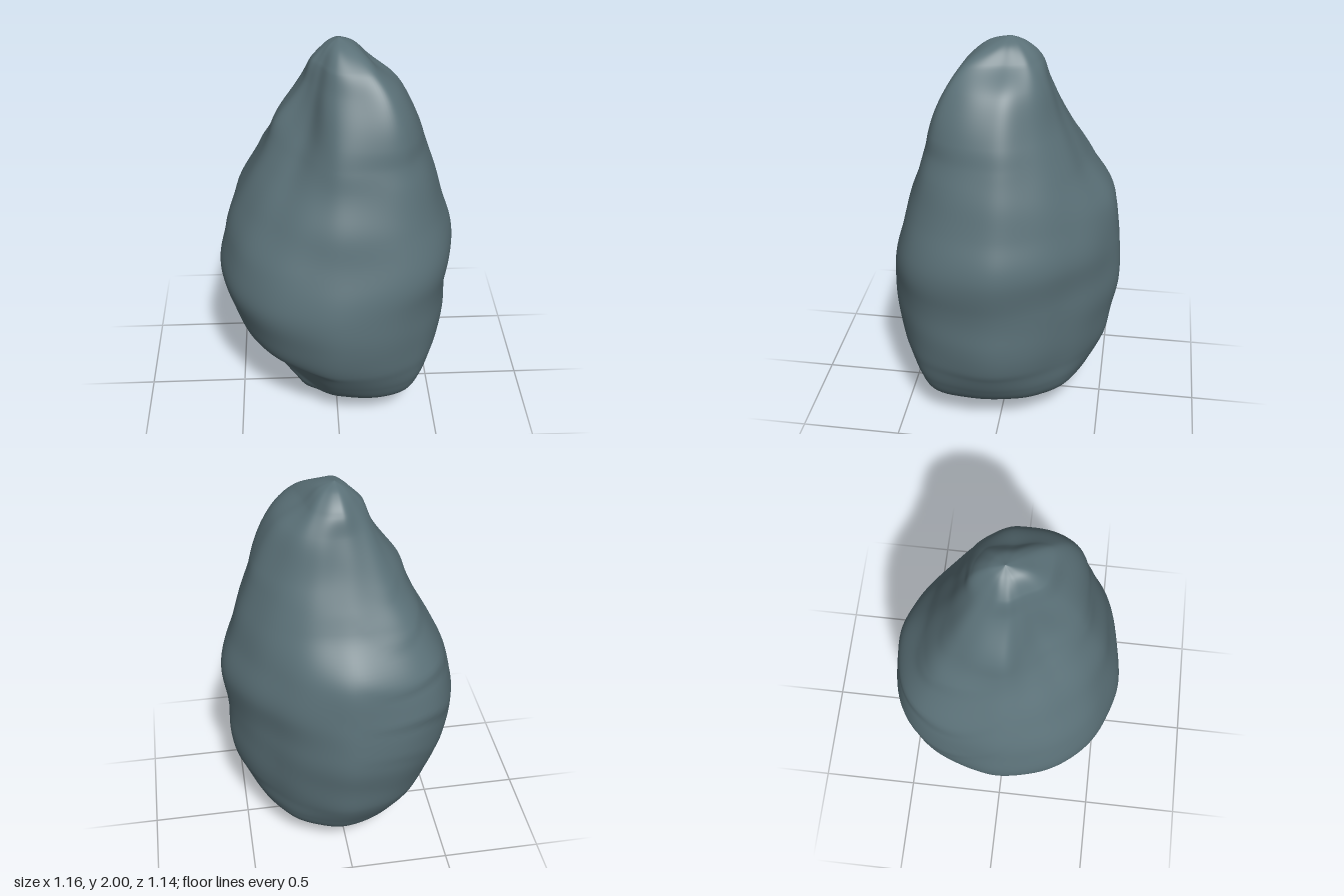
import * as THREE from 'three';

// Each row: height, then radii at eight compass directions, turning from +x towards +z
const ROWS = [
  [0.02, .09, .13, .11, .11, .10, .10, .07, .08],
  [0.09, .21, .33, .25, .24, .20, .22, .23, .23],
  [0.20, .395, .49, .37, .275, .32, .36, .39, .39],
  [0.30, .465, .54, .445, .33, .35, .43, .455, .44],
  [0.39, .51, .56, .495, .38, .37, .475, .50, .46],
  [0.45, .535, .57, .525, .47, .455, .50, .52, .47],
  [0.60, .55, .58, .565, .54, .53, .55, .545, .485],
  [0.80, .555, .595, .57, .58, .58, .59, .57, .495],
  [1.00, .575, .60, .52, .54, .55, .60, .55, .505],
  [1.20, .525, .54, .465, .44, .47, .55, .515, .47],
  [1.40, .46, .48, .39, .32, .365, .435, .38, .40],
  [1.50, .43, .45, .36, .255, .32, .365, .325, .36],
  [1.60, .395, .43, .325, .20, .28, .305, .28, .32],
  [1.80, .29, .34, .22, .135, .15, .19, .195, .24],
  [1.90, .16, .24, .17, .10, .11, .12, .16, .17],
  [1.97, .08, .10, .10, .06, .05, .06, .08, .08],
];
const STEPS = 170, AROUND = 128;

// Gentle lumps all over, plus a few soft U-shaped ridges on the back
function relief(angle, y) {
  const lumps = 0.004 * Math.sin(3 * angle + 7 * y) * Math.sin(9 * y - 2 * angle)
    + 0.003 * Math.sin(7 * angle - 11 * y + 1) * Math.sin(5 * angle + 13 * y);
  const a = angle - Math.PI * 1.25;
  const level = (y - 0.25 * a * a) * 4.6 + 0.18 * Math.sin(5 * a + 4 * y);
  const f = level - Math.floor(level);
  const scallop = f < 0.25 ? f / 0.25 : (1 - f) / 0.75;
  const fade = Math.exp(-((a / 0.5) ** 2) - (((y - 1.05) / 0.35) ** 2));
  return lumps + 0.014 * fade * (scallop - 0.5);
}

function stoneGeometry() {
  // One vertical profile curve for each compass direction
  const profiles = Array.from({ length: 8 }, (_, k) => new THREE.CatmullRomCurve3([
    new THREE.Vector3(0, 0, 0),
    ...ROWS.map((row) => new THREE.Vector3(row[k + 1], row[0], 0)),
    new THREE.Vector3(0, 2, 0),
  ], false, 'centripetal'));

  const positions = [], index = [];
  for (let i = 0; i <= STEPS; i++) {
    // A closed ring through the eight profiles
    const ring = new THREE.CatmullRomCurve3(profiles.map((profile, k) => {
      const p = profile.getPoint(i / STEPS), angle = k * Math.PI / 4;
      return new THREE.Vector3(p.x * Math.cos(angle), p.y, p.x * Math.sin(angle));
    }), true, 'catmullrom', 0.5);
    for (let j = 0; j < AROUND; j++) {
      const p = ring.getPoint(j / AROUND);
      const r = Math.hypot(p.x, p.z);
      const angle = (j / AROUND) * Math.PI * 2;
      const scale = 1 + relief(angle, p.y) * Math.min(1, r / 0.25) / Math.max(r, 0.05);
      // The lowest point sits a little towards the back, the peak slightly off centre
      const low = Math.max(0, 1 - p.y / 0.15), high = Math.max(0, (p.y - 1.9) / 0.1);
      positions.push(p.x * scale + 0.015 * high, Math.max(0, p.y), p.z * scale - 0.05 * low - 0.015 * high);
      if (i < STEPS) {
        const a = i * AROUND + j, b = i * AROUND + (j + 1) % AROUND;
        index.push(a, a + AROUND, b, b, a + AROUND, b + AROUND);
      }
    }
  }
  const geometry = new THREE.BufferGeometry();
  geometry.setAttribute('position', new THREE.Float32BufferAttribute(positions, 3));
  geometry.setIndex(index);
  geometry.computeVertexNormals();
  return geometry;
}

export function createModel() {
  const group = new THREE.Group();
  group.name = 'stone';
  const material = new THREE.MeshStandardMaterial({ color: 0x5b7178 });
  material.name = 'slate grey';
  const body = new THREE.Mesh(stoneGeometry(), material);
  body.name = 'stoneBody';
  group.add(body);
  return group;
}
